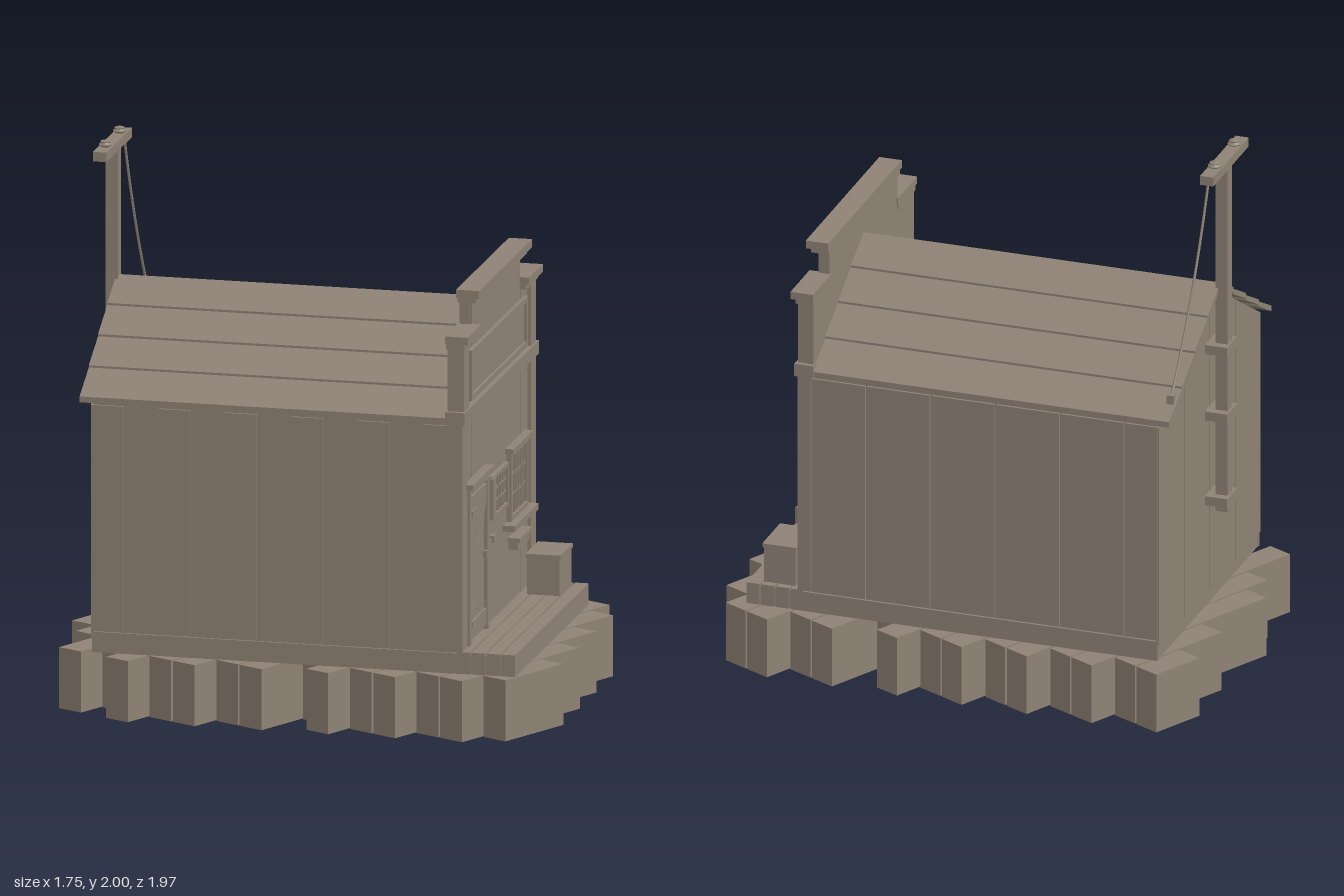
import * as THREE from 'three';

export function createModel() {
  const model = new THREE.Group();
  const wood = new THREE.MeshStandardMaterial({ color: 0x8e8274 });
  wood.name = 'weathered wood';

  const add = (parent, name, geo, x = 0, y = 0, z = 0) => {
    const m = new THREE.Mesh(geo, wood);
    m.name = name;
    m.position.set(x, y, z);
    parent.add(m);
    return m;
  };
  // box given by its limits on each axis
  const box = (parent, name, x0, x1, y0, y1, z0, z1) =>
    add(parent, name, new THREE.BoxGeometry(x1 - x0, y1 - y0, z1 - z0), (x0 + x1) / 2, (y0 + y1) / 2, (z0 + z1) / 2);
  const prism = (parent, name, pts, z0, z1) =>
    add(parent, name, new THREE.ExtrudeGeometry(new THREE.Shape(pts.map(p => new THREE.Vector2(...p))),
      { depth: z1 - z0, bevelEnabled: false }), 0, 0, z0);

  // Foundation: staggered rows of beams, [left end, right end] from back to front
  const rows = [[0, .215], [-.215, .215], [-.545, .325], [-.655, .325], [-.875, .435], [-.765, .435],
    [-.875, .545], [-.765, .545], [-.765, .655], [-.655, .545], [-.655, .765], [-.435, .765],
    [-.545, .875], [-.435, .875], [-.435, .765], [-.325, .545], [-.325, .325], [-.215, .105]];
  const foundation = new THREE.Group();
  foundation.name = 'foundation';
  model.add(foundation);
  rows.forEach(([a, b], i) => {
    const z = -.99 + i * .11;
    box(foundation, 'foundationBeam', a, b, 0, .225, z, z + .102);
  });

  // The house stands turned on its foundation
  const house = new THREE.Group();
  house.name = 'house';
  house.rotation.y = Math.atan(.5);
  house.position.set(-.027, 0, .013);
  model.add(house);

  // Walls with gable ends
  prism(house, 'walls', [[-.54, .225], [.54, .225], [.54, 1.14], [0, 1.463], [-.54, 1.14]], -.75, .56);
  // Board cladding on the sides
  for (let i = 0; i < 6; i++) {
    const z1 = .595 - i * .245;
    box(house, 'rightBoard', .535, .549, .305, 1.135, Math.max(z1 - .239, -.752), z1);
    box(house, 'leftBoard', -.549, -.535, .305, 1.135, Math.max(z1 - .125, -.752), z1 - .006);
  }
  for (const s of [-1, 1]) box(house, 'sill', Math.min(s * .53, s * .549), Math.max(s * .53, s * .549), .225, .3, -.752, .6);
  // Board cladding on the back gable
  const gableY = x => 1.46 - .598 * Math.abs(x);
  [[-.545, -.276], [-.27, -.003], [.003, .27], [.276, .545]].forEach(([a, b]) =>
    prism(house, 'backBoard', [[a, .28], [b, .28], [b, gableY(b)], [a, gableY(a)]], -.757, -.745));

  // Roof: four lapped planks on each slope
  for (const s of [-1, 1]) {
    for (let i = 0; i < 4; i++) {
      const a = i * .1378, b = a + .1378;
      const top = 1.482 - i * .0815;
      const pts = [[s * a, top], [s * b, top - .0735], [s * b, top - .095], [s * a, top - .021]];
      prism(house, 'roofPlank', s > 0 ? pts.reverse() : pts, -.797, .56);
    }
  }

  // Porch planks
  for (let i = 0; i < 4; i++)
    box(house, 'porchPlank', -.548, .548, .225, .305, .59 + i * .0553, .59 + (i + 1) * .0553 - .006);
  box(house, 'porchBeam', -.54, .54, .225, .295, .59, .8);

  // False front with stepped top
  const front = new THREE.Group();
  front.name = 'falseFront';
  house.add(front);
  prism(front, 'frontWall', [[-.54, .225], [.54, .225], [.54, 1.43], [.365, 1.43], [.365, 1.57],
    [-.365, 1.57], [-.365, 1.43], [-.54, 1.43]], .555, .592);
  for (let i = 0; i < 6; i++) {
    const a = -.54 + i * .18;
    const top = i > 0 && i < 5 ? 1.56 : 1.42;
    box(front, 'frontBoard', Math.max(a, top > 1.5 ? -.365 : -1) + .002, Math.min(a + .18, top > 1.5 ? .365 : 1) - .002, .305, top, .59, .6);
  }
  box(front, 'cornice', -.556, .556, 1.14, 1.188, .55, .622);
  box(front, 'topCap', -.395, .395, 1.57, 1.6, .55, .635);
  box(front, 'topCapTrim', -.38, .38, 1.55, 1.57, .552, .62);
  for (const s of [-1, 1]) {
    const mid = s * .457;
    box(front, 'sideCap', mid - .103, mid + .103, 1.44, 1.468, .55, .635);
    box(front, 'sideCapTrim', mid - .092, mid + .092, 1.42, 1.44, .552, .62);
    box(front, 'upperPilaster', s * .5 - .038, s * .5 + .038, 1.188, 1.42, .56, .615);
    box(front, 'cornerPost', s * .51 - .04, s * .51 + .04, .305, 1.14, .56, .612);
  }
  // frame of four bars around an opening
  const frame = (name, x0, x1, y0, y1, t, z0, z1) => {
    box(front, name, x0, x1, y1 - t, y1, z0, z1);
    box(front, name, x0, x1, y0, y0 + t, z0, z1);
    box(front, name, x0, x0 + t, y0 + t, y1 - t, z0, z1);
    box(front, name, x1 - t, x1, y0 + t, y1 - t, z0, z1);
  };
  frame('signFrame', -.42, .42, 1.2, 1.385, .02, .595, .615);
  box(front, 'signBoard', -.4, .4, 1.22, 1.365, .595, .605);

  // Door
  for (const x of [-.46, -.195]) box(front, 'doorPost', x, x + .03, .305, .885, .595, .617);
  box(front, 'doorLintel', -.43, -.195, .855, .885, .595, .617);
  box(front, 'doorHeader', -.485, -.165, .885, .905, .595, .635);
  box(front, 'door', -.425, -.2, .31, .85, .595, .606);
  box(front, 'doorBatten', -.425, -.2, .765, .845, .604, .615);
  box(front, 'doorBatten', -.425, -.2, .325, .385, .604, .615);
  const brace = add(front, 'doorBrace', new THREE.BoxGeometry(.025, .42, .01), -.312, .575, .609);
  brace.rotation.z = -.4;
  box(front, 'doorLatch', -.222, -.207, .575, .6, .604, .622);
  for (const y of [.775, .37]) box(front, 'doorHinge', -.435, -.36, y, y + .02, .61, .622);

  // Windows with crossing bars
  const bars = (name, x0, x1, y0, y1, nx, ny) => {
    for (let i = 1; i < nx; i++) {
      const x = x0 + (x1 - x0) * i / nx;
      box(front, name, x - .004, x + .004, y0, y1, .6, .612);
    }
    for (let i = 1; i < ny; i++) {
      const y = y0 + (y1 - y0) * i / ny;
      box(front, name, x0, x1, y - .004, y + .004, .6, .611);
    }
  };
  frame('smallWindowFrame', -.115, .122, .685, .845, .014, .595, .618);
  box(front, 'smallWindowShutter', -.125, -.085, .69, .84, .597, .622);
  bars('smallWindowBar', -.085, .11, .698, .832, 5, 3);
  frame('largeWindowFrame', .155, .415, .615, .87, .018, .595, .618);
  bars('largeWindowBar', .172, .398, .632, .852, 7, 3);
  box(front, 'largeWindowHeader', .135, .43, .868, .888, .595, .632);
  box(front, 'largeWindowSill', .1, .455, .592, .614, .595, .645);

  // Notice board, letter shelf and crate
  box(front, 'noticeBoard', -.135, -.03, .48, .615, .597, .608);
  box(front, 'noticeClip', -.1, -.065, .6, .625, .6, .618);
  box(front, 'letterShelf', .185, .355, .505, .535, .597, .635);
  box(front, 'letterShelfTop', .175, .365, .535, .55, .597, .645);
  box(house, 'crate', .34, .52, .305, .44, .63, .75);
  box(house, 'crateLid', .335, .525, .44, .455, .626, .754);

  // Utility pole on the back gable
  const pole = new THREE.Group();
  pole.name = 'utilityPole';
  house.add(pole);
  box(pole, 'pole', -.024, .024, .6, 1.95, -.832, -.786);
  box(pole, 'crossarm', -.19, .19, 1.94, 1.975, -.837, -.787);
  for (const y of [.63, .96, 1.22]) box(pole, 'poleBracket', -.055, .055, y, y + .035, -.842, -.75);
  const insulator = new THREE.LatheGeometry([[0, 0], [.012, 0], [.024, .006], [.024, .011], [.01, .015],
    [.018, .018], [.018, .022], [0, .026]].map(p => new THREE.Vector2(...p)), 12);
  for (const x of [-.105, .105]) add(pole, 'insulator', insulator, x, 1.975, -.812);

  // Sagging wire down to the eave
  const wire = new THREE.QuadraticBezierCurve3(new THREE.Vector3(.13, 1.95, -.8),
    new THREE.Vector3(.265, 1.53, -.79), new THREE.Vector3(.468, 1.22, -.775));
  add(pole, 'wire', new THREE.TubeGeometry(wire, 12, .005, 6));
  box(pole, 'wireAnchor', .455, .481, 1.19, 1.235, -.788, -.762);

  return model;
}
